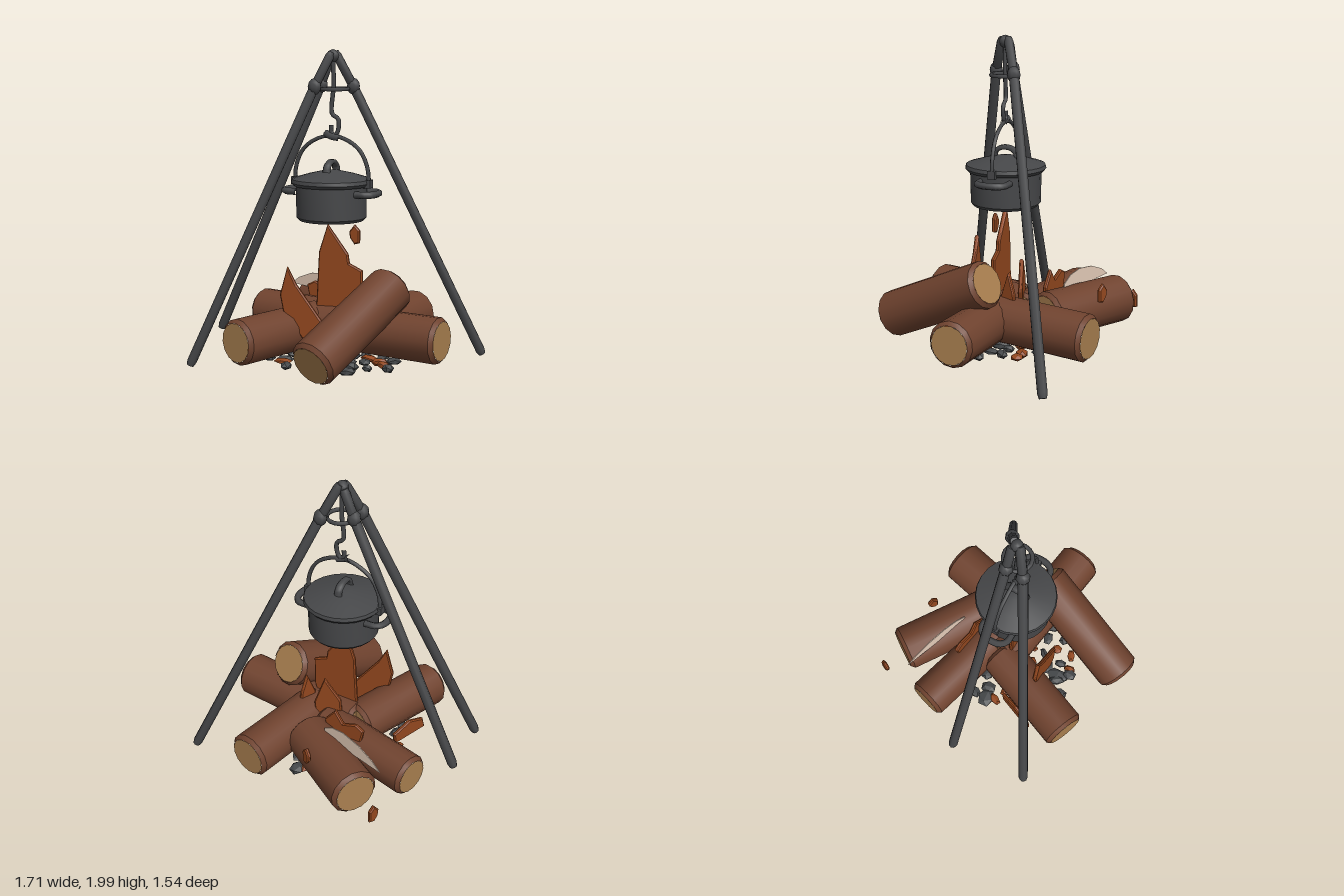
import * as THREE from 'three';
import { toCreasedNormals } from 'three/addons/utils/BufferGeometryUtils.js';

const mat = (name, color, extra = {}) => {
  const m = new THREE.MeshStandardMaterial({ color, ...extra });
  m.name = name;
  return m;
};
const V = (p) => new THREE.Vector3(...p);
const UP = new THREE.Vector3(0, 1, 0);

export function createModel() {
  const iron = mat('iron', 0x464749);
  const bark = mat('bark', 0x70432f);
  const cutWood = mat('cut wood', 0xaa8050);
  const flameMat = mat('flame', 0x94481f, { flatShading: true, side: THREE.DoubleSide });
  const coalMat = mat('coal', 0x45484a, { flatShading: true });
  const paleMat = mat('pale glow', 0xebd2be, { side: THREE.DoubleSide });

  const model = new THREE.Group();
  model.name = 'campfire';
  const add = (name, geo, material, pos = [0, 0, 0], parent = model) => {
    const m = new THREE.Mesh(geo, material);
    m.name = name;
    m.position.set(...pos);
    parent.add(m);
    return m;
  };
  // Stand an object built along y between two points
  const align = (obj, a, b) => {
    obj.position.copy(a).lerp(b, 0.5);
    obj.quaternion.setFromUnitVectors(UP, b.clone().sub(a).normalize());
  };
  const lathe = (pts, sides, crease = 0.6) =>
    toCreasedNormals(new THREE.LatheGeometry(pts.map((p) => new THREE.Vector2(...p)), sides), crease);
  const tube = (name, pts, r, segs = 24, parent = model) =>
    add(name, new THREE.TubeGeometry(new THREE.CatmullRomCurve3(pts.map(V)), segs, r, 6), iron, [0, 0, 0], parent);

  // Tripod legs, each with a knot near the top
  const rod = (name, a, b, r, parent) => {
    const L = a.distanceTo(b), h = L / 2;
    const m = add(name, lathe([[0, -h], [r * 0.75, -h], [r, -h + 0.03], [r, h - 0.03], [r * 0.75, h], [0, h]], 8, 0.9), iron, [0, 0, 0], parent);
    align(m, a, b);
  };
  const legs = [
    [[-0.03, 1.96, -0.02], [-0.1, 1.78, -0.02], [-0.84, 0.14, -0.02]],
    [[-0.01, 1.98, 0.02], [-0.095, 1.77, 0.09], [-0.775, 0.02, 0.5]],
    [[-0.005, 1.985, -0.02], [0.09, 1.77, -0.09], [0.825, 0.02, -0.525]],
  ];
  legs.forEach(([top, knot, foot]) => {
    const g = new THREE.Group();
    g.name = 'tripodLeg';
    model.add(g);
    rod('legTop', V(knot), V(top), 0.03, g);
    rod('legPole', V(foot), V(knot), 0.032, g);
    const k = add('legKnot', new THREE.SphereGeometry(0.044, 8, 6), iron, knot, g);
    k.scale.y = 1.2;
  });
  add('tripodCap', new THREE.SphereGeometry(0.04, 8, 6), iron, [-0.01, 1.96, 0]);
  const ring = add('tripodRing', new THREE.TorusGeometry(0.085, 0.013, 6, 16), iron, [0, 1.755, 0]);
  ring.rotation.x = Math.PI / 2;

  // Hanging hook
  tube('hookRod', [[-0.01, 1.95, 0], [-0.005, 1.78, 0], [-0.015, 1.6, 0], [0.025, 1.57, 0], [0.03, 1.52, 0], [0.01, 1.47, 0], [-0.02, 1.48, 0], [-0.02, 1.53, 0]], 0.014, 36);
  tube('hookEye', [[-0.06, 1.48, 0], [-0.02, 1.46, 0.01], [0.03, 1.45, 0]], 0.022, 6);

  // Cooking pot
  const pot = new THREE.Group();
  pot.name = 'cookingPot';
  pot.position.x = -0.02;
  model.add(pot);
  add('potBody', lathe([[0, 0.93], [0.205, 0.93], [0.222, 0.95], [0.226, 1.15], [0, 1.15]], 24), iron, [0, 0, 0], pot);
  add('potLid', lathe([[0, 1.145], [0.24, 1.15], [0.256, 1.17], [0.25, 1.192], [0.15, 1.222], [0.05, 1.245], [0, 1.25]], 24), iron, [0, 0, 0], pot);
  const grip = tube('lidGrip', [[0, 1.235, -0.075], [0, 1.27, -0.065], [0, 1.295, -0.03], [0, 1.295, 0.03], [0, 1.27, 0.065], [0, 1.235, 0.075]], 0.017, 16, pot);
  grip.scale.x = 1.6;
  tube('bailHandle', [[-0.255, 1.15, 0], [-0.245, 1.27, 0], [-0.19, 1.38, 0], [-0.09, 1.445, 0], [0, 1.462, 0], [0.09, 1.445, 0], [0.19, 1.38, 0], [0.245, 1.27, 0], [0.255, 1.15, 0]], 0.013, 30, pot);
  for (const s of [-1, 1]) {
    tube('sideHandle', [[s * 0.2, 1.11, -0.095], [s * 0.27, 1.11, -0.09], [s * 0.305, 1.11, -0.05], [s * 0.305, 1.11, 0.05], [s * 0.27, 1.11, 0.09], [s * 0.2, 1.11, 0.095]], 0.022, 16, pot);
    add('bailLug', new THREE.BoxGeometry(0.045, 0.05, 0.05), iron, [s * 0.25, 1.17, 0], pot);
  }

  // Logs: bevelled bark with a cut disc at each end
  const logs = [
    [[-0.685, 0.23, -0.325], [0.05, 0.24, -0.13], 0.135],
    [[0.755, 0.24, 0.08], [-0.15, 0.24, -0.04], 0.146],
    [[0.32, 0.225, -0.66], [0.17, 0.24, 0], 0.15],
    [[-0.46, 0.25, -0.65], [0.08, 0.25, -0.3], 0.155],
    [[-0.39, 0.23, 0.6], [-0.14, 0.24, -0.06], 0.146],
    [[0.17, 0.18, 0.715], [0.385, 0.525, -0.025], 0.15],
  ];
  logs.forEach(([a, b, r]) => {
    const g = new THREE.Group();
    g.name = 'log';
    model.add(g);
    const h = V(a).distanceTo(V(b)) / 2, c = r * 0.84;
    add('logBark', lathe([[c, -h], [r, -h + 0.025], [r, h - 0.025], [c, h]], 14, 0.5), bark, [0, 0, 0], g);
    for (const s of [-1, 1]) {
      const cap = add('logEnd', new THREE.CircleGeometry(c, 14), cutWood, [0, s * h, 0], g);
      cap.rotation.x = -s * Math.PI / 2;
    }
    align(g, V(a), V(b));
  });

  // Flames: thin bevelled plates, outline in x and y, turned about y
  const flame = (name, pts, pos, turn = 0, material = flameMat, depth = 0.012, bevel = 0.008) => {
    const geo = new THREE.ExtrudeGeometry(new THREE.Shape(pts.map((p) => new THREE.Vector2(...p))), {
      depth, bevelEnabled: bevel > 0, bevelThickness: bevel, bevelSize: bevel, bevelOffset: -bevel, bevelSegments: 1,
    });
    geo.translate(0, 0, -depth / 2);
    const m = add(name, geo, material, pos);
    m.rotation.y = turn;
  };
  flame('mainFlame', [[-0.06, 0.12], [0.1, 0.12], [0.2, 0.42], [0.2, 0.62], [0.11, 0.66], [0.1, 0.72], [-0.04, 0.9], [-0.1, 0.72], [-0.12, 0.35]], [0, 0, 0.01]);
  flame('frontFlame', [[0.0, 0.08], [0.06, 0.1], [0.08, 0.26], [-0.14, 0.55], [-0.2, 0.66], [-0.25, 0.48], [-0.23, 0.38]], [0, 0, 0.25], 0.08);
  flame('middleFlame', [[-0.08, 0.15], [0.1, 0.15], [0.12, 0.4], [0.05, 0.6], [-0.06, 0.45]], [0, 0, -0.12], 0.2);
  flame('backFlame', [[-0.12, 0.25], [0.13, 0.25], [0.14, 0.4], [0.06, 0.5], [0, 0.42], [-0.1, 0.46], [-0.16, 0.43]], [-0.17, 0, -0.275], -0.12);
  flame('sideFlame', [[-0.07, 0.2], [0.07, 0.2], [0.05, 0.42], [0, 0.55], [-0.06, 0.4]], [0.2, 0, -0.1], 1.1);
  const shard = [[0, -0.06], [0.035, -0.05], [0.035, 0.03], [0, 0.065], [-0.035, 0.02], [-0.03, -0.02]];
  flame('floatingEmber', shard, [0.145, 0.845, 0.01]);
  flame('backEmber', shard, [-0.61, 0.2, -0.7], 1.15);
  flame('logEmber', shard, [-0.1, 0.38, -0.62], -0.5);
  flame('lowEmber', [[-0.14, 0.05], [0.13, 0.04], [0.14, 0.12], [0, 0.17], [-0.12, 0.13]], [-0.4, 0, 0.22], 1.2);

  // Pale glowing sliver on the back log
  flame('paleSliver', [[-0.25, 0.375], [0.25, 0.36], [0.25, 0.42], [0.18, 0.465], [0.08, 0.485], [-0.06, 0.47], [-0.18, 0.425]],
    [-0.325, 0, -0.45], -0.32, paleMat, 0.006, 0);

  // Coals and embers scattered under the logs
  let seed = 11;
  const rnd = () => (seed = (seed * 16807) % 2147483647) / 2147483647;
  const chunk = new THREE.IcosahedronGeometry(1, 0);
  const stone = (name, material, x, y, z, sx, sy, sz, turn) => {
    const m = add(name, chunk, material, [x, y, z]);
    m.scale.set(sx, sy, sz);
    m.rotation.y = turn;
  };
  for (let i = 0; i < 64; i++) {
    const a = i * 2.4, d = 0.45 * Math.sqrt((i + 0.5) / 64);
    const hot = i % 3 === 0;
    stone(hot ? 'ember' : 'coal', hot ? flameMat : coalMat, Math.cos(a) * d, 0.06 + rnd() * 0.02, Math.sin(a) * d,
      0.035 + rnd() * 0.035, 0.018 + rnd() * 0.012, 0.025 + rnd() * 0.02, rnd() * 6);
  }
  for (const [x, z, w, l] of [[-0.42, -0.01, 0.07, 0.06], [-0.03, 0.34, 0.05, 0.085], [0.45, 0.2, 0.04, 0.04], [0.08, -0.45, 0.05, 0.06]])
    stone('largeCoal', coalMat, x, 0.065, z, w, 0.03, l, 0.1);
  stone('largeEmber', flameMat, 0.05, 0.07, 0.39, 0.03, 0.03, 0.045, 0.2);
  return model;
}
